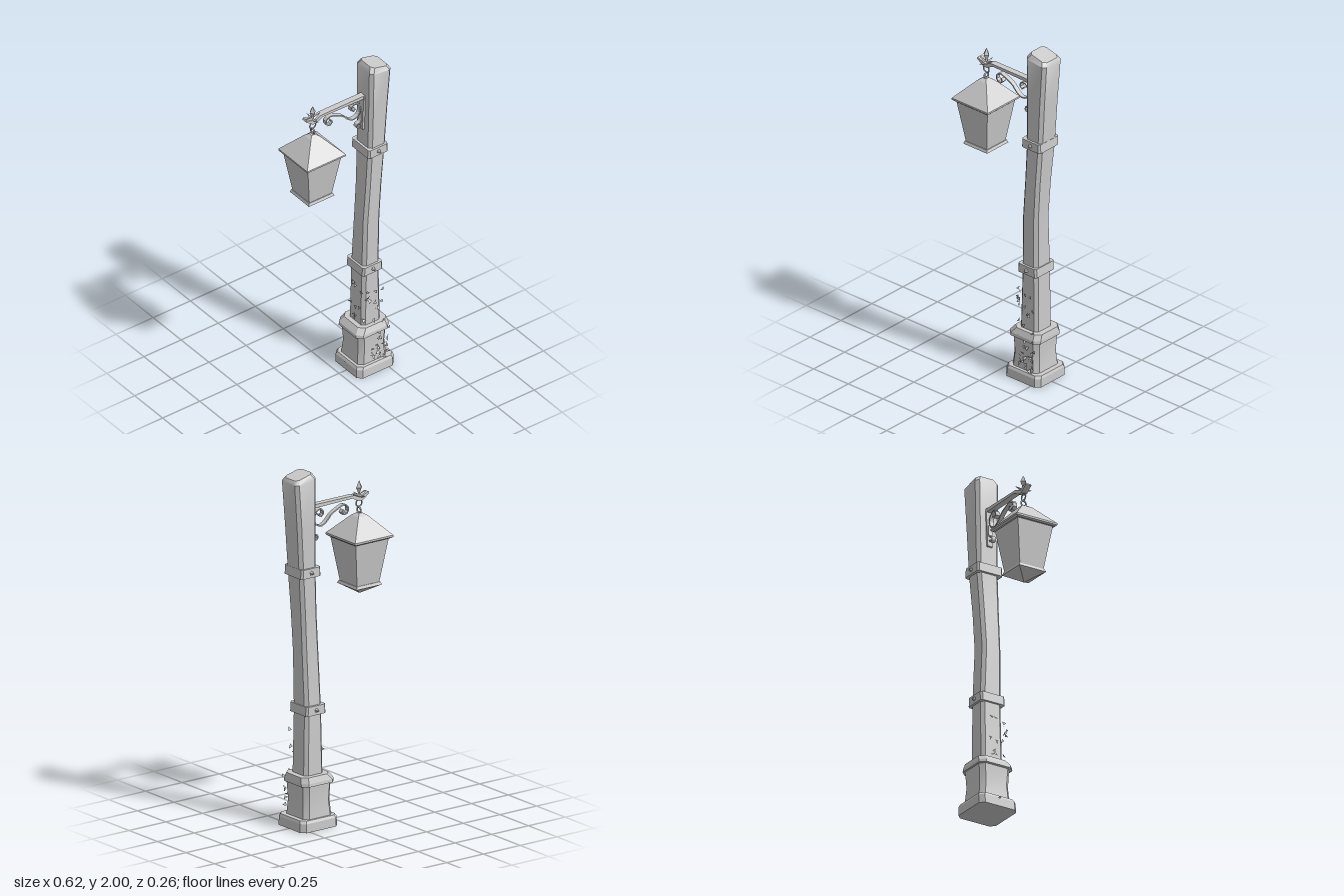
import * as THREE from 'three';
import { toCreasedNormals, mergeGeometries } from 'three/addons/utils/BufferGeometryUtils.js';

const smooth = new THREE.MeshStandardMaterial({ color: 0xcccccc });
const flat = new THREE.MeshStandardMaterial({ color: 0xcccccc, flatShading: true });
const thin = new THREE.MeshStandardMaterial({ color: 0xcccccc, flatShading: true, side: THREE.DoubleSide });

// Stacks box-like rings [y, x0, x1, z0, z1, tilt]; corners are cut by c when c > 0
function loft(rings, c = 0) {
  const pos = [], idx = [];
  const n = c ? 8 : 4;
  for (const [y, x0, x1, z0, z1, tilt = 0] of rings) {
    const pts = c
      ? [[x1, z1 - c], [x1, z0 + c], [x1 - c, z0], [x0 + c, z0], [x0, z0 + c], [x0, z1 - c], [x0 + c, z1], [x1 - c, z1]]
      : [[x1, z1], [x1, z0], [x0, z0], [x0, z1]];
    for (const [x, z] of pts) pos.push(x, y - tilt * (x - x0), z);
  }
  const top = (rings.length - 1) * n;
  for (let i = 0; i < top; i += n) {
    for (let j = 0; j < n; j++) {
      const a = i + j, b = i + (j + 1) % n;
      idx.push(a, b, b + n, a, b + n, a + n);
    }
  }
  for (let j = 1; j < n - 1; j++) idx.push(0, j + 1, j, top, top + j, top + j + 1);
  const g = new THREE.BufferGeometry();
  g.setAttribute('position', new THREE.Float32BufferAttribute(pos, 3));
  g.setIndex(idx);
  return toCreasedNormals(g, 0.6);
}

// Ring centred on (x, z)
const square = (y, x, z, h) => [y, x - h, x + h, z - h, z + h];

// Flat strip following a curve in the xy plane, w wide in z
function ribbon(points, w, z, t = 0.007) {
  const curve = new THREE.CatmullRomCurve3(points.map(([x, y]) => new THREE.Vector3(x, y, 0)));
  const n = 28, p = curve.getSpacedPoints(n), outer = [], inner = [];
  for (let i = 0; i <= n; i++) {
    const d = curve.getTangentAt(i / n);
    const h = t * 0.5;
    outer.push(new THREE.Vector2(p[i].x - d.y * h, p[i].y + d.x * h));
    inner.unshift(new THREE.Vector2(p[i].x + d.y * h, p[i].y - d.x * h));
  }
  const g = new THREE.ExtrudeGeometry(new THREE.Shape([...outer, ...inner]), { depth: w, bevelEnabled: false });
  return g.translate(0, 0, z - w / 2);
}

export function createModel() {
  const model = new THREE.Group();
  const add = (name, geo, mat = smooth, parent = model) => {
    const m = new THREE.Mesh(geo, mat);
    m.name = name;
    parent.add(m);
    return m;
  };

  // Stone base
  const base = new THREE.Group();
  base.name = 'base';
  model.add(base);
  add('plinth', loft([
    [0, 0.05, 0.3, -0.125, 0.115], [0.05, 0.052, 0.3, -0.125, 0.112], [0.065, 0.06, 0.295, -0.118, 0.105],
  ], 0.025), flat, base);
  add('baseBlock', loft([
    [0.06, 0.075, 0.268, -0.107, 0.088], [0.15, 0.083, 0.26, -0.1, 0.083], [0.255, 0.078, 0.267, -0.105, 0.088],
  ], 0.025), smooth, base);
  add('baseCap', loft([
    [0.25, 0.06, 0.28, -0.115, 0.1], [0.268, 0.062, 0.28, -0.113, 0.098], [0.3, 0.088, 0.275, -0.102, 0.083],
  ], 0.03), flat, base);

  // Leaning, slightly crooked wooden post
  add('post', loft([
    [0.28, 0.114, 0.242, -0.073, 0.06],
    [0.66, 0.124, 0.236, -0.073, 0.056],
    [0.98, 0.13, 0.239, -0.057, 0.06],
    [1.2, 0.146, 0.252, -0.062, 0.061],
    [1.44, 0.16, 0.272, -0.072, 0.062],
    [1.7, 0.163, 0.288, -0.076, 0.066],
    [1.97, 0.165, 0.307, -0.079, 0.069, 0.14],
    [2.0, 0.183, 0.295, -0.063, 0.053, 0.25],
  ], 0.018));

  // Iron bands with rivets
  for (const [y, x0, x1, z0, z1] of [[0.665, 0.11, 0.245, -0.086, 0.069], [1.445, 0.143, 0.278, -0.085, 0.075]]) {
    const band = new THREE.Group();
    band.name = 'band';
    model.add(band);
    add('bandStrap', loft([[y - 0.026, x0, x1, z0, z1], [y + 0.026, x0 + 0.003, x1 - 0.003, z0, z1]], 0.01), flat, band);
    for (const [z, s] of [[z1, 1], [z0, -1]]) {
      const rivet = add('rivet', new THREE.ConeGeometry(0.013, 0.022, 5), flat, band);
      rivet.position.set((x0 + x1) / 2, y, z + s * 0.01);
      rivet.rotation.x = s * Math.PI / 2;
    }
  }

  // Bracket: wall strip, arm with upturned end, scrollwork
  const bracket = new THREE.Group();
  bracket.name = 'bracket';
  model.add(bracket);
  add('wallStrip', loft([[1.58, 0.148, 0.17, -0.02, 0.012], [1.8, 0.155, 0.175, -0.025, 0.016]]), flat, bracket);
  const arm = new THREE.Shape([
    [0.17, 1.782], [0.17, 1.803], [-0.13, 1.803], [-0.17, 1.785], [-0.225, 1.808],
    [-0.23, 1.798], [-0.185, 1.765], [-0.16, 1.765], [-0.115, 1.788],
  ].map(([x, y]) => new THREE.Vector2(x, y)));
  add('arm', new THREE.ExtrudeGeometry(arm, { depth: 0.036, bevelEnabled: false }).translate(0, 0, -0.023), flat, bracket);
  add('scroll', ribbon([
    [-0.06, 1.735], [-0.05, 1.715], [-0.07, 1.705], [-0.09, 1.715], [-0.092, 1.745], [-0.065, 1.762], [-0.03, 1.75],
    [0.02, 1.725], [0.055, 1.69], [0.09, 1.672], [0.125, 1.685], [0.138, 1.72], [0.122, 1.76],
    [0.09, 1.768], [0.075, 1.745], [0.09, 1.725], [0.105, 1.738],
  ], 0.026, -0.004), flat, bracket);
  add('lowerCurl', ribbon([
    [0.15, 1.7], [0.147, 1.65], [0.135, 1.63], [0.118, 1.625], [0.116, 1.605], [0.132, 1.6], [0.138, 1.612],
  ], 0.026, -0.004), flat, bracket);

  // Finial: upright spear with small side thorns
  const spear = add('finial', new THREE.LatheGeometry(
    [[0, 1.77], [0.008, 1.79], [0.006, 1.805], [0.02, 1.835], [0, 1.875]].map(([x, y]) => new THREE.Vector2(x, y)), 4), flat, bracket);
  spear.position.set(-0.176, 0, -0.003);
  for (const [rx, rz] of [[1.35, 0], [-1.35, 0], [0, 1.1], [0, -1.1]]) {
    const thorn = add('finialThorn', new THREE.ConeGeometry(0.011, 0.055, 4).translate(0, 0.03, 0), flat, bracket);
    thorn.position.set(-0.176, 1.785, -0.003);
    thorn.rotation.set(rx, 0, rz);
  }

  // Hanging lantern
  const lantern = new THREE.Group();
  lantern.name = 'lantern';
  model.add(lantern);
  const cx = -0.18, cz = -0.002;
  add('hook', new THREE.TorusGeometry(0.02, 0.004, 5, 14), smooth, lantern).position.set(-0.176, 1.747, cz);
  const ring = add('ring', new THREE.TorusGeometry(0.016, 0.005, 5, 14), smooth, lantern);
  ring.position.set(-0.176, 1.708, cz);
  ring.rotation.y = Math.PI / 2;
  add('lanternRoof', loft([
    square(1.555, cx, cz, 0.122), square(1.562, cx, cz, 0.13), square(1.572, cx, cz, 0.13),
    square(1.678, cx, cz, 0.032), square(1.692, cx, cz, 0.012),
  ]), flat, lantern);
  add('lanternBody', loft([square(1.3, cx, cz, 0.075), square(1.56, cx, cz, 0.113)]), flat, lantern);
  add('lanternFoot', loft([
    square(1.24, cx, cz, 0.003), square(1.286, cx, cz, 0.078), square(1.29, cx, cz, 0.086), square(1.306, cx, cz, 0.08),
  ]), flat, lantern);

  // Small ivy leaves climbing the front and right-hand side
  let seed = 7;
  const rnd = () => (seed = (seed * 16807) % 2147483647) / 2147483647;
  const leafShape = new THREE.Shape([new THREE.Vector2(-0.011, 0), new THREE.Vector2(0.011, 0.003), new THREE.Vector2(0, 0.026)]);
  const leaves = [];
  const leaf = (x, y, z, yaw) => {
    const g = new THREE.ShapeGeometry(leafShape);
    g.rotateZ(rnd() * 6.28).rotateX(rnd() * 1.4 - 0.9).rotateY(yaw + rnd() - 0.5);
    leaves.push(g.translate(x, y, z));
  };
  for (let i = 0; i < 22; i++) leaf(0.15 + rnd() * 0.11, 0.05 + rnd() * 0.23, 0.092 + rnd() * 0.015, 0);
  for (let i = 0; i < 14; i++) leaf(0.115 + rnd() * 0.12, 0.3 + rnd() * 0.25, 0.07 + rnd() * 0.02, 0);
  for (let i = 0; i < 9; i++) leaf(0.1 + rnd() * 0.012, 0.32 + rnd() * 0.24, -0.03 + rnd() * 0.08, -1.57);
  for (let i = 0; i < 3; i++) leaf(0.04 + rnd() * 0.02, 0.02 + rnd() * 0.03, -0.05 + rnd() * 0.05, -1.57);
  add('ivyLeaves', mergeGeometries(leaves), thin);

  return model;
}
